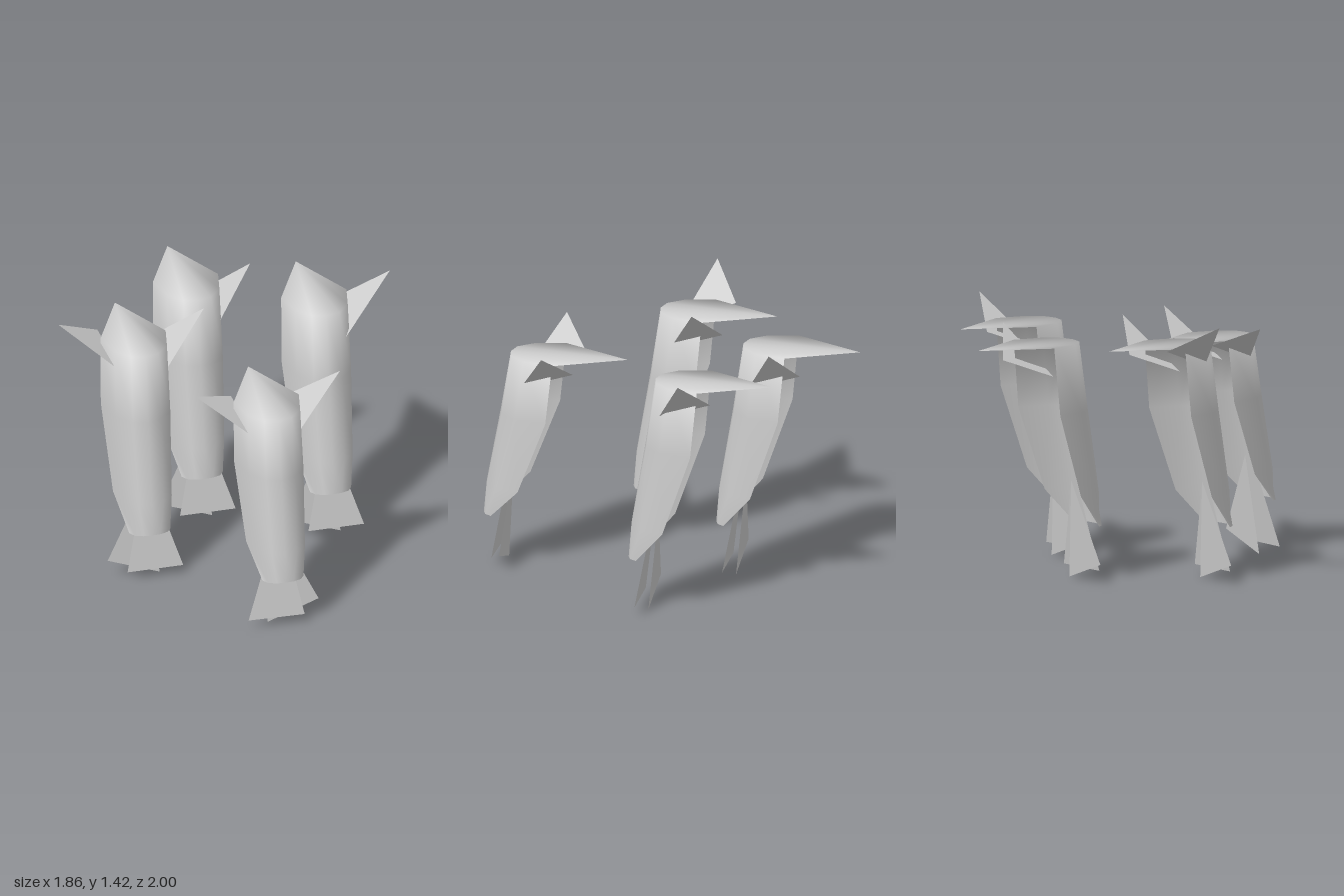
import * as THREE from 'three';

const grey = new THREE.MeshStandardMaterial({ color: 0xcccccc, side: THREE.DoubleSide });
grey.name = 'pale grey';

// Shell rows from bottom to top: height, half width, rim z, front z
const ROWS = [
  [0.29, 0.112, -0.055, 0],
  [0.47, 0.16, -0.21, -0.01],
  [0.92, 0.185, -0.365, -0.085],
  [1.285, 0.178, -0.4, -0.14],
];
// Half-round section: share of the half width, share of the depth
const ARC = [[-1, 0], [-0.8, 0.62], [-0.42, 0.93], [0, 1], [0.42, 0.93], [0.8, 0.62], [1, 0]];
const TIP_Z = -0.77;

function surface(name, points, index) {
  const geo = new THREE.BufferGeometry();
  geo.setAttribute('position', new THREE.Float32BufferAttribute(points.flat(), 3));
  geo.setIndex(index);
  geo.computeVertexNormals();
  const mesh = new THREE.Mesh(geo, grey);
  mesh.name = name;
  return mesh;
}

// Hollow shell, open at the back, closed on top by a flat pointed hood
function makeShell(stretch) {
  const n = ARC.length, points = [], index = [];
  for (const [y, w, rim, front] of ROWS)
    for (const [u, d] of ARC)
      points.push([u * w, 0.285 + (y - 0.285) * stretch, rim + (front - rim) * d]);
  const tip = points.length, top = (ROWS.length - 1) * n;
  points.push([0, points[top][1], TIP_Z]);
  for (let i = 0; i < n - 1; i++) {
    for (let r = 0; r < ROWS.length - 1; r++) {
      const a = r * n + i, c = a + n;
      index.push(a, a + 1, c, a + 1, c + 1, c);
    }
    index.push(top + i, top + i + 1, tip);
  }
  return surface('shell', points, index);
}

// Swept side fin: front root, rear root and raised tip
function makeFin({ side, tip, dy = 0, dz = 0 }) {
  const points = [
    [side * 0.11, 1.11 + dy, -0.22 + dz],
    [side * 0.165, 1.22 + dy, -0.51 + dz],
    [side * tip[0], tip[1], tip[2]],
  ];
  return surface(side > 0 ? 'leftFin' : 'rightFin', points, side > 0 ? [0, 2, 1] : [0, 1, 2]);
}

// Two overlapping triangular tail blades
function makeTail(flip) {
  const tail = new THREE.Group();
  tail.name = 'tail';
  const blades = {
    frontBlade: [[0, 0.61, -0.145], [-0.12, 0.055, -0.06], [0.185, 0.055, -0.065]],
    rearBlade: [[0, 0.53, -0.155], [-0.212, 0.105, -0.122], [0.07, 0.005, -0.115]],
  };
  for (const [name, pts] of Object.entries(blades))
    tail.add(surface(name, pts.map(([x, y, z]) => [x * flip, y, z]), flip > 0 ? [0, 1, 2] : [0, 2, 1]));
  return tail;
}

const UNITS = [
  { name: 'rightFigure', x: -0.51, z: 0.305, fins: [
    { side: 1, tip: [0.385, 1.395, -0.39] },
    { side: -1, tip: [0.42, 1.425, -0.355], dy: 0.06 }] },
  { name: 'rearFigure', x: -0.08, z: -0.235, fins: [
    { side: 1, tip: [0.34, 1.352, -0.35], dy: -0.035, dz: 0.03 }] },
  { name: 'leftFigure', x: 0.53, z: 0.105, fins: [
    { side: 1, tip: [0.4, 1.395, -0.345], dz: 0.04 }] },
  { name: 'frontFigure', x: 0.033, z: 0.995, stretch: 0.9, flip: -1, fins: [
    { side: 1, tip: [0.4, 1.3, -0.39], dy: -0.08 },
    { side: -1, tip: [0.4, 1.275, -0.355], dy: -0.05, dz: 0.01 }] },
];

export function createModel() {
  const model = new THREE.Group();
  model.name = 'figureGroup';
  for (const { name, x, z, stretch = 1, flip = 1, fins } of UNITS) {
    const unit = new THREE.Group();
    unit.name = name;
    unit.position.set(x, 0, z);
    unit.add(makeShell(stretch), makeTail(flip), ...fins.map(makeFin));
    model.add(unit);
  }
  return model;
}
